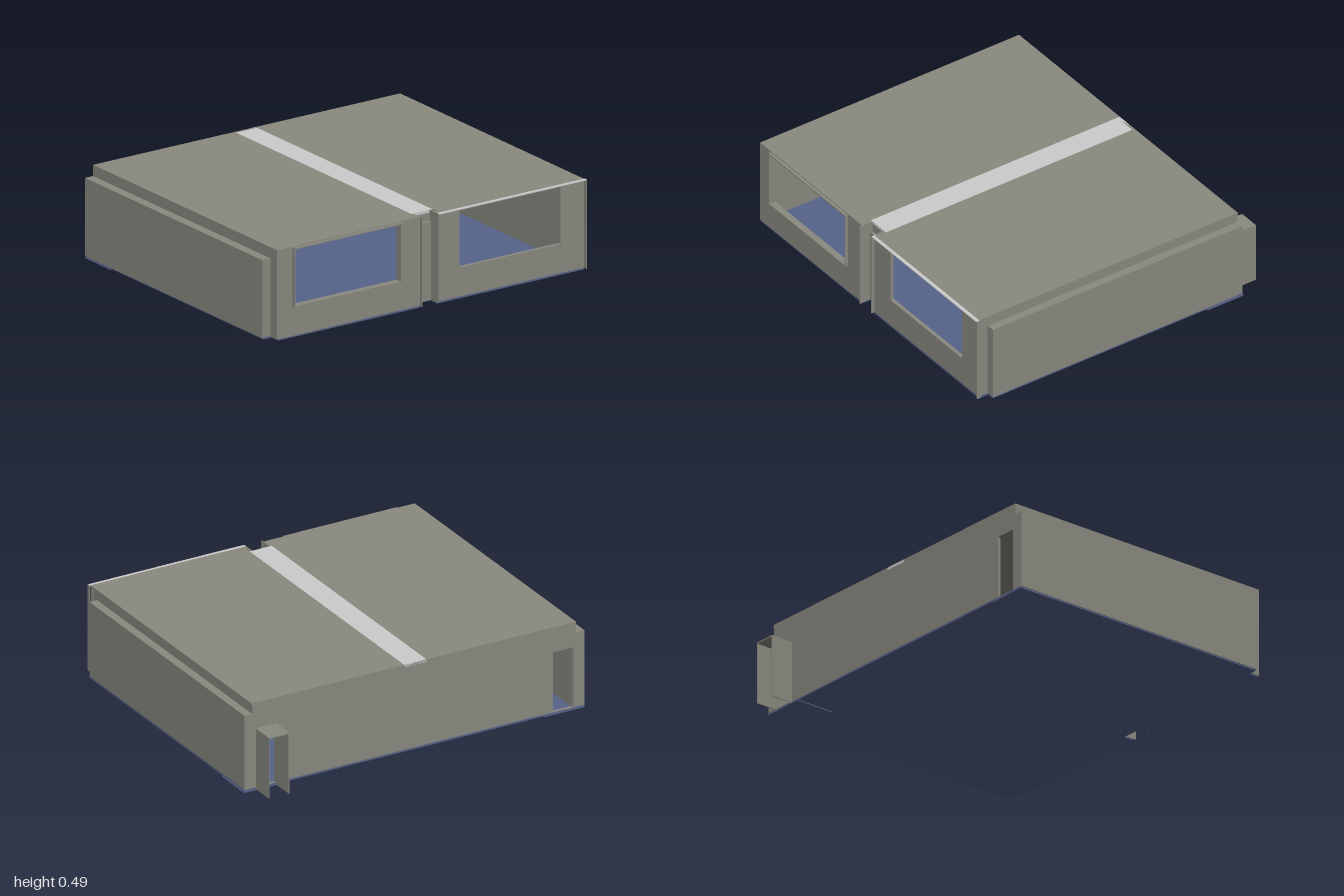
import * as THREE from 'three';

export function createModel() {
  const group = new THREE.Group();
  group.name = 'building';

  const mat = (name, color) => {
    const m = new THREE.MeshStandardMaterial({ color });
    m.name = name;
    return m;
  };
  const grey = mat('wall grey', 0x8a8980);
  const light = mat('skylight grey', 0xcccccc);
  const blue = mat('floor blue', 0x56638a);

  // Box given by its limits on each axis
  const box = (name, m, x0, x1, y0, y1, z0, z1) => {
    const mesh = new THREE.Mesh(new THREE.BoxGeometry(x1 - x0, y1 - y0, z1 - z0), m);
    mesh.position.set((x0 + x1) / 2, (y0 + y1) / 2, (z0 + z1) / 2);
    mesh.name = name;
    group.add(mesh);
    return mesh;
  };

  // Upright wall across z with rectangular holes [z0, z1, y0, y1]; x is its +x face
  const rect = (P, [z0, z1, y0, y1]) => {
    const p = new P();
    p.moveTo(z0, y0);
    p.lineTo(z1, y0);
    p.lineTo(z1, y1);
    p.lineTo(z0, y1);
    p.closePath();
    return p;
  };
  const wall = (name, x, thick, outline, holes) => {
    const s = rect(THREE.Shape, outline);
    s.holes = holes.map(h => rect(THREE.Path, h));
    const mesh = new THREE.Mesh(new THREE.ExtrudeGeometry(s, { depth: thick, bevelEnabled: false }), grey);
    mesh.rotation.y = -Math.PI / 2;
    mesh.position.x = x;
    mesh.name = name;
    group.add(mesh);
  };

  // Floor, with its extensions under the two window bays
  box('floor', blue, -0.75, 0.8, 0.005, 0.015, -0.995, 0.99);
  box('frontBayFloor', blue, 0.8, 0.858, 0.005, 0.015, 0.06, 0.94);
  box('backBayFloor', blue, 0.8, 0.858, 0.005, 0.015, -0.955, -0.045);
  box('frontFloorPad', blue, -0.752, -0.53, 0, 0.006, 0.76, 0.995);
  box('backFloorPad', blue, -0.752, -0.53, 0, 0.006, -1, -0.76);

  // Roof halves and the skylight strip between them
  box('frontRoof', grey, -0.75, 0.858, 0.475, 0.49, 0.07, 0.945);
  box('backRoof', grey, -0.75, 0.858, 0.475, 0.49, -0.955, -0.06);
  box('skylight', light, -0.75, 0.795, 0.475, 0.49, -0.06, 0.07);

  // Long walls: low outer slab and the taller wall behind it
  for (const [side, s, inner] of [['front', 1, 0.945], ['back', -1, 0.95]]) {
    const span = (a, b) => [Math.min(s * a, s * b), Math.max(s * a, s * b)];
    box(side + 'Slab', grey, -0.75, 0.8, 0.012, 0.43, ...span(inner - 0.005, 0.995));
    box(side + 'Wall', grey, -0.749, 0.858, 0.012, 0.488, ...span(inner - 0.02, inner));
  }

  // End wall with the two doorways
  wall('endWall', -0.735, 0.015, [-0.95, 0.945, 0.012, 0.49],
    [[0.81, 0.93, 0.016, 0.35], [-0.925, -0.815, 0.016, 0.34]]);

  // Window walls of the two bays
  wall('frontWindowWall', 0.858, 0.02, [0.06, 0.945, 0.012, 0.489], [[0.19, 0.845, 0.175, 0.48]]);
  wall('backWindowWall', 0.858, 0.02, [-0.955, -0.045, 0.012, 0.489], [[-0.81, -0.185, 0.17, 0.478]]);
  wall('frontWindowFrame', 0.875, 0.035, [0.183, 0.85, 0.168, 0.485], [[0.19, 0.843, 0.175, 0.478]]);

  // Recess between the bays
  box('frontBayReturn', grey, 0.79, 0.858, 0.012, 0.489, 0.058, 0.07);
  box('backBayReturn', grey, 0.79, 0.858, 0.012, 0.489, -0.055, -0.043);
  box('recessWall', grey, 0.795, 0.81, 0.012, 0.43, -0.045, 0.06);
  box('recessHeader', grey, 0.78, 0.795, 0.43, 0.475, -0.06, 0.07);

  // Thin trim along the bay edges and over the back window
  box('frontBayTrim', grey, 0.855, 0.875, 0.012, 0.49, 0.055, 0.06);
  box('backBayTrim', grey, 0.855, 0.875, 0.012, 0.49, -0.047, -0.042);
  box('backCornerTrim', grey, 0.855, 0.875, 0.012, 0.49, -0.963, -0.958);
  box('backCanopy', light, 0.856, 0.875, 0.485, 0.49, -0.958, -0.047);

  // Porch, open at its end and underneath
  box('porchRoof', grey, -0.88, -0.75, 0.337, 0.345, -0.93, -0.81);
  for (const z of [-0.93, -0.814]) box('porchWall', grey, -0.88, -0.75, 0.005, 0.338, z, z + 0.004);

  return group;
}
